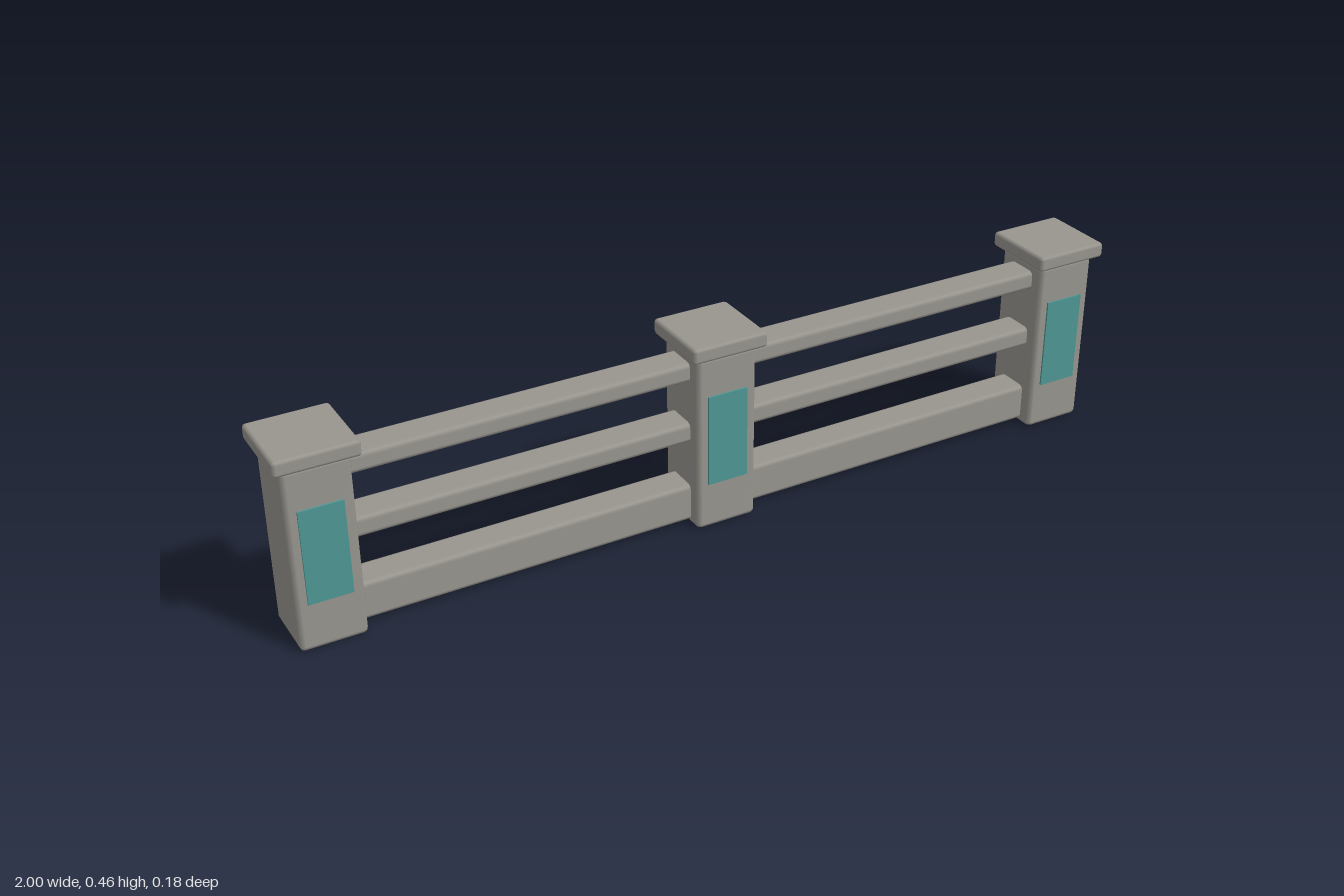
import * as THREE from 'three';
import { RoundedBoxGeometry } from 'three/addons/geometries/RoundedBoxGeometry.js';

export function createModel() {
  const fence = new THREE.Group();
  fence.name = 'fence';
  const stone = new THREE.MeshStandardMaterial({ color: 0x99968f });
  stone.name = 'grey stone';
  const teal = new THREE.MeshStandardMaterial({ color: 0x4f9795 });
  teal.name = 'teal panel';

  // Box with a single chamfer along every edge, placed by its bottom and top
  const block = (name, width, bottom, top, depth, bevel, x) => {
    const geometry = new RoundedBoxGeometry(width, top - bottom, depth, 1, bevel);
    const mesh = new THREE.Mesh(geometry, stone);
    mesh.name = name;
    mesh.position.set(x, (bottom + top) / 2, 0);
    return mesh;
  };

  // Three posts, each with a cap and a thin coloured panel on the front
  for (const x of [-0.91, 0, 0.91]) {
    const post = new THREE.Group();
    post.name = 'post';
    post.position.x = x;
    post.add(block('postShaft', 0.145, 0, 0.418, 0.145, 0.011, 0));
    post.add(block('postCap', 0.18, 0.419, 0.455, 0.18, 0.008, 0));
    const panel = new THREE.Mesh(new THREE.BoxGeometry(0.096, 0.216, 0.008), teal);
    panel.name = 'postPanel';
    panel.position.set(0, 0.219, 0.0725);
    post.add(panel);
    fence.add(post);
  }

  // Three rails in each bay, running into the posts
  const rails = [['bottomRail', 0.009, 0.098], ['middleRail', 0.206, 0.253], ['topRail', 0.353, 0.398]];
  for (const side of [-1, 1]) {
    for (const [name, bottom, top] of rails) {
      fence.add(block(name, 0.81, bottom, top, 0.08, 0.011, side * 0.455));
    }
  }
  return fence;
}
